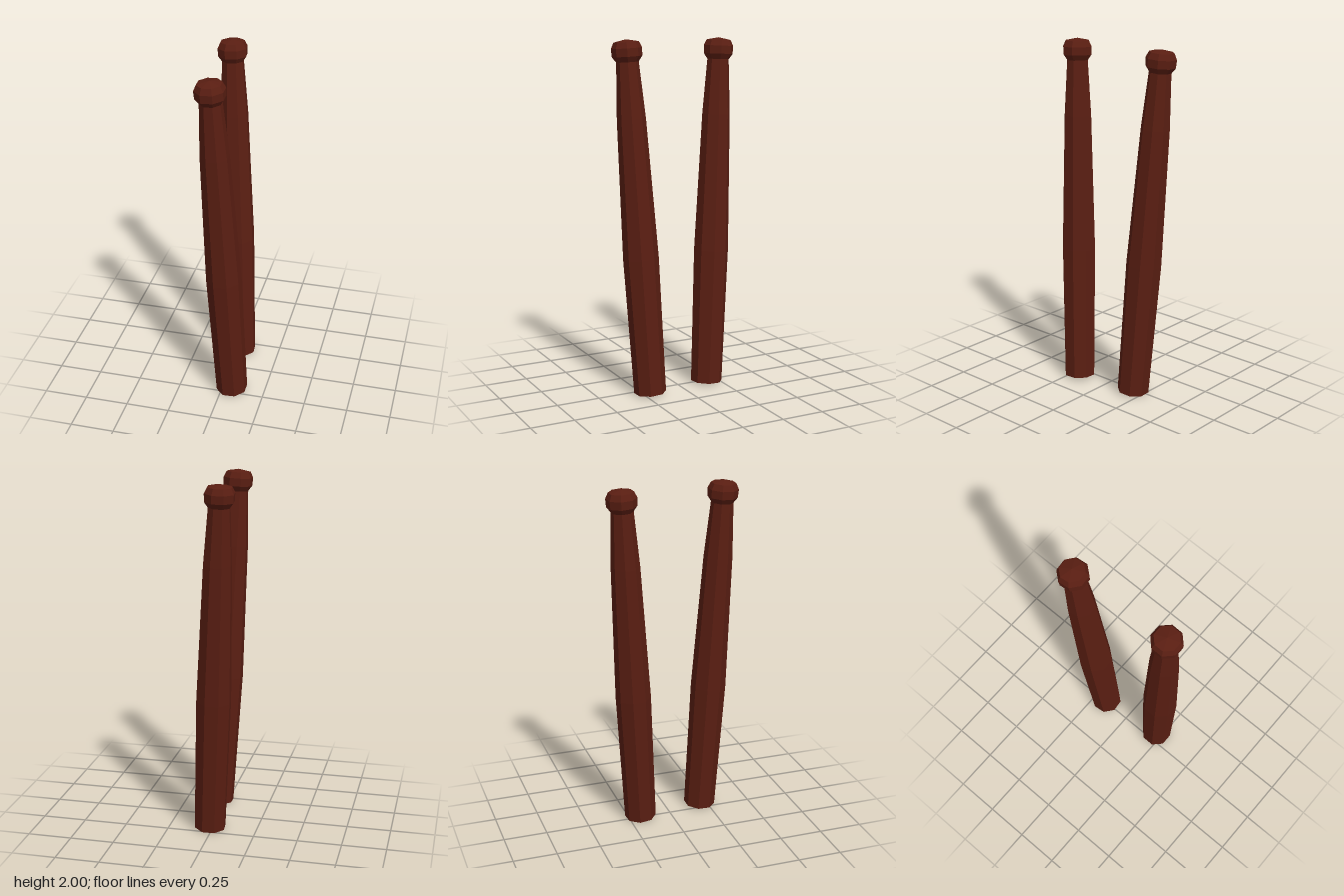
import * as THREE from 'three';

// Stick outline: radius, distance from the butt end
const shaftProfile = [[0, 0], [0.091, 0], [0.1, 0.78], [0.08, 1.56], [0.061, 1.88]];
const beadProfile = [[0.058, 1.865], [0.083, 1.9], [0.085, 1.945], [0.069, 1.978], [0, 1.992]];

function createLathe(profile, material, name) {
  const points = profile.map(([r, y]) => new THREE.Vector2(r, y));
  // Eight sides, with flats facing the axes
  const mesh = new THREE.Mesh(new THREE.LatheGeometry(points, 8, Math.PI / 8), material);
  mesh.name = name;
  return mesh;
}

// A stick leaning from its butt end towards its tip
function createStick(name, base, tip, twist, material) {
  const stick = new THREE.Group();
  stick.name = name;
  const start = new THREE.Vector3(...base);
  const direction = new THREE.Vector3(...tip).sub(start).normalize();
  stick.position.copy(start);
  stick.quaternion.setFromUnitVectors(new THREE.Vector3(0, 1, 0), direction);
  for (const [profile, part] of [[shaftProfile, 'shaft'], [beadProfile, 'bead']]) {
    const mesh = createLathe(profile, material, part);
    mesh.rotation.y = twist;
    stick.add(mesh);
  }
  return stick;
}

export function createModel() {
  const model = new THREE.Group();
  model.name = 'drumsticks';
  const wood = new THREE.MeshStandardMaterial({ color: 0x5a1e12, flatShading: true });
  model.add(
    createStick('frontStick', [0.057, 0.014, 0.207], [-0.041, 2, 0.295], 0, wood),
    createStick('backStick', [0.018, 0.012, -0.178], [-0.066, 2, -0.294], 0.09, wood)
  );
  return model;
}
